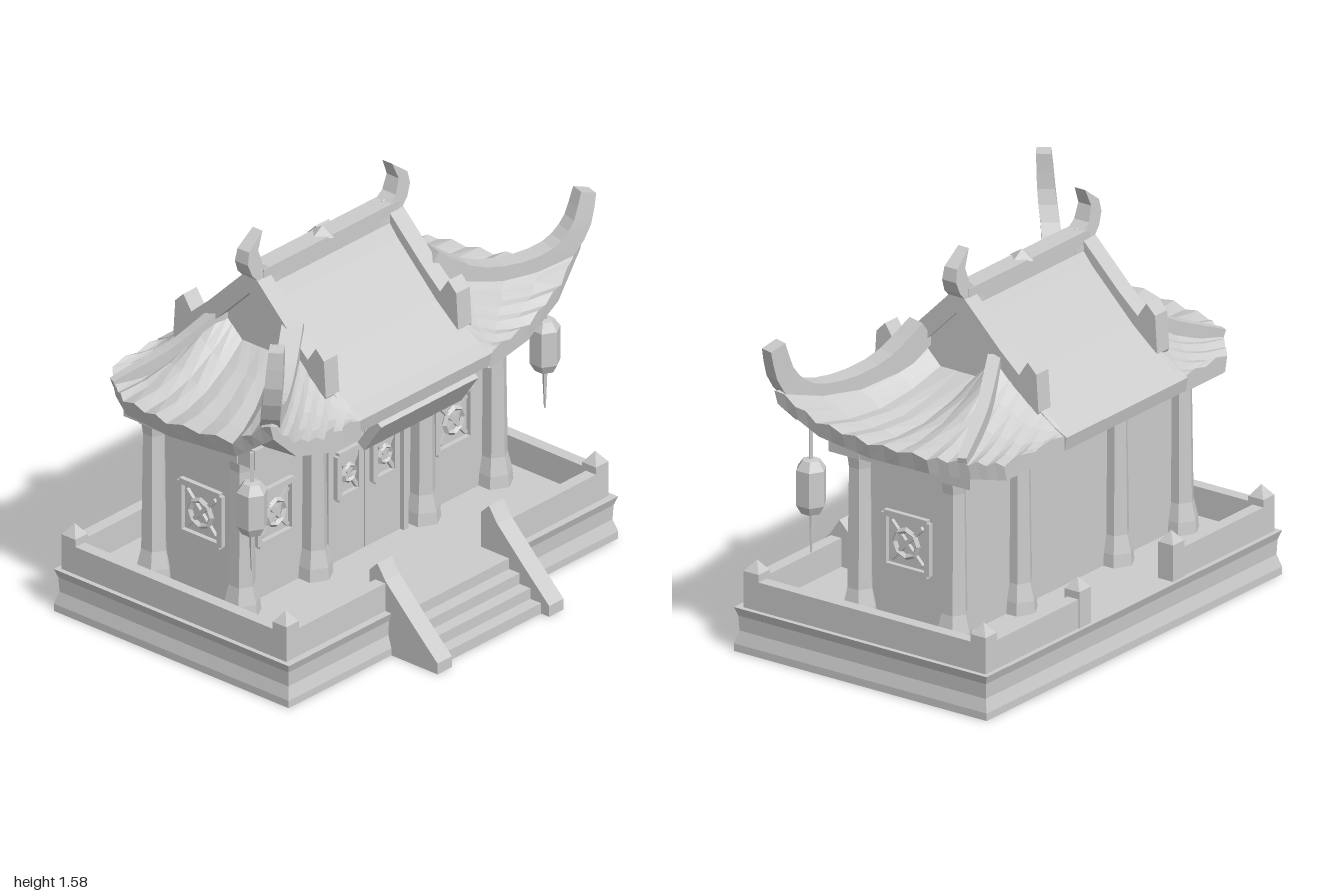
import * as THREE from 'three';

const mat = new THREE.MeshStandardMaterial({ color: 0xcccccc, flatShading: true });
const matDouble = new THREE.MeshStandardMaterial({ color: 0xcccccc, flatShading: true, side: THREE.DoubleSide });
const CX = -0.07, RIDGE_Z = -0.16, FLOOR = 0.175;
const V = (x, y, z) => new THREE.Vector3(x, y, z);

export function createModel() {
  const root = new THREE.Group();
  const add = (name, geo, m = mat, parent = root) => {
    const mesh = new THREE.Mesh(geo, m);
    mesh.name = name;
    parent.add(mesh);
    return mesh;
  };
  // box given by its limits
  const box = (name, x0, x1, y0, y1, z0, z1, parent = root) => {
    const g = new THREE.BoxGeometry(x1 - x0, y1 - y0, z1 - z0);
    g.translate((x0 + x1) / 2, (y0 + y1) / 2, (z0 + z1) / 2);
    return add(name, g, mat, parent);
  };
  // skin over successive sections; wrap closes each section, caps close the ends
  const loft = (name, rings, wrap, caps) => {
    const n = rings[0].length, pos = [], idx = [];
    rings.forEach(r => r.forEach(p => pos.push(p.x, p.y, p.z)));
    for (let i = 0; i < rings.length - 1; i++)
      for (let j = 0; j < (wrap ? n : n - 1); j++) {
        const a = i * n + j, b = i * n + (j + 1) % n;
        idx.push(a, b, a + n, b, b + n, a + n);
      }
    if (caps) for (const s of [0, (rings.length - 1) * n])
      for (let j = 1; j < n - 1; j++) idx.push(s, s + j, s + j + 1);
    const g = new THREE.BufferGeometry();
    g.setAttribute('position', new THREE.Float32BufferAttribute(pos, 3));
    g.setIndex(idx);
    g.computeVertexNormals();
    return add(name, g, matDouble);
  };
  // outline in (z, y) extruded from x0 to x1
  const sideExtrude = (name, pts, x0, x1) => {
    const g = new THREE.ExtrudeGeometry(new THREE.Shape(pts.map(p => new THREE.Vector2(...p))),
      { depth: x1 - x0, bevelEnabled: false });
    g.rotateY(-Math.PI / 2);
    g.translate(x1, 0, 0);
    return add(name, g);
  };

  // --- Platform with slightly hollow sides
  loft('platform', [[0, 0], [0.03, 0], [0.08, 0.015], [0.14, 0.012], [FLOOR, 0]].map(([y, i]) => [
    V(-0.98 + i, y, 0.47 - i), V(0.85 - i, y, 0.47 - i), V(0.85 - i, y, -0.7 + i), V(-0.98 + i, y, -0.7 + i)]), true, true);

  // --- Parapet, open at the stairs and at the back
  const [px0, px1, pz0, pz1, pt] = [-0.96, 0.83, -0.68, 0.44, 0.05];
  const rail = (...l) => box('parapet', l[0], l[1], FLOOR, 0.29, l[2], l[3]);
  rail(px0, -0.38, pz1 - pt, pz1);
  rail(0.26, px1, pz1 - pt, pz1);
  rail(px0, -0.36, pz0, pz0 + pt);
  rail(0.22, px1, pz0, pz0 + pt);
  rail(px0, px0 + pt, pz0, pz1);
  rail(px1 - pt, px1, pz0, pz1);
  for (const [x, z] of [[-0.925, 0.405], [0.795, 0.405], [-0.925, -0.645], [0.795, -0.645], [-0.36, -0.65], [0.22, -0.65]]) {
    box('parapetPost', x - 0.035, x + 0.035, FLOOR, 0.32, z - 0.035, z + 0.035);
    const tip = new THREE.ConeGeometry(0.048, 0.045, 4);
    tip.rotateY(Math.PI / 4);
    add('postTip', tip).position.set(x, 0.342, z);
  }

  // --- Stairs and side walls
  for (let i = 0; i < 4; i++)
    box('step', -0.36, 0.24, 0, FLOOR - i * 0.044, 0.4, 0.5 + i * 0.053);
  for (const x of [-0.41, 0.21])
    sideExtrude('stairWall', [[0.36, 0], [0.7, 0], [0.7, 0.045], [0.57, 0.17], [0.44, 0.3], [0.4, 0.36], [0.36, 0.32]], x, x + 0.08);

  // --- Hall walls, beams and columns
  box('hall', -0.75, 0.62, FLOOR, 0.89, -0.38, 0.025);
  box('beam', -0.82, 0.68, 0.82, 0.88, -0.42, 0.07);
  box('lintel', -0.36, 0.23, 0.69, 0.82, 0.02, 0.06);
  const shaft = new THREE.LatheGeometry([[0, 0], [0.075, 0], [0.07, 0.05], [0.053, 0.12], [0.046, 0.6], [0.06, 0.7], [0, 0.7]]
    .map(p => new THREE.Vector2(...p)), 6);
  for (const x of [-0.765, -0.365, 0.235, 0.635]) for (const z of [0.045, -0.39]) {
    add('column', shaft).position.set(x, FLOOR, z);
    const s = z > 0 ? 1 : -1;
    box('bracket', x - 0.05, x + 0.05, 0.82, 0.9, z + s * 0.04 - 0.07, z + s * 0.04 + 0.07);
  }

  // --- Lattice windows, built facing +z about their centre
  const lattice = (name, w, h) => {
    const g = new THREE.Group();
    g.name = name;
    for (const s of [-1, 1]) {
      box('frameSide', s * w / 2 - 0.012, s * w / 2 + 0.012, -h / 2, h / 2, -0.01, 0.02, g);
      box('frameRail', -w / 2, w / 2, s * h / 2 - 0.012, s * h / 2 + 0.012, -0.01, 0.02, g);
      const bar = box('bar', -0.008, 0.008, -h * 0.5, h * 0.5, -0.01, 0.015, g);
      bar.rotation.z = s * Math.atan(w / h);
    }
    const ring = add('rosette', new THREE.TorusGeometry(Math.min(w, h) * 0.27, 0.012, 4, 8), mat, g);
    ring.position.z = 0.01;
    root.add(g);
    return g;
  };
  lattice('frontWindow', 0.19, 0.21).position.set(-0.57, 0.51, 0.025);
  lattice('frontWindow', 0.19, 0.21).position.set(0.42, 0.51, 0.025);
  for (const [x, s] of [[0.62, 1], [-0.75, -1]]) {
    const w = lattice('sideWindow', 0.2, 0.21);
    w.position.set(x, 0.51, -0.165);
    w.rotation.y = s * Math.PI / 2;
  }
  for (const x of [-0.18, 0.02]) {
    box('doorLeaf', x - 0.097, x + 0.097, FLOOR, 0.68, 0.02, 0.04);
    lattice('doorWindow', 0.12, 0.18).position.set(x, 0.53, 0.04);
  }
  for (const x of [-0.29, 0.13]) box('doorJamb', x - 0.012, x + 0.012, FLOOR, 0.69, 0.02, 0.06);

  // --- Tilted plaque hanging below the front eave
  const plaque = box('plaque', -0.27, 0.27, -0.075, 0.075, -0.02, 0.02);
  plaque.position.set(-0.05, 0.82, 0.28);
  plaque.rotation.x = 0.6;

  // --- Main gable roof, concave on both slopes
  const slope = [[0, 1.4], [0.08, 1.3], [0.18, 1.2], [0.27, 1.11], [0.36, 1.035], [0.44, 0.975], [0.5, 0.945]];
  const mirrored = half => [...half.map(([d, y]) => [RIDGE_Z + d, y]),
    ...half.slice().reverse().map(([d, y]) => [RIDGE_Z - d, y])];
  sideExtrude('mainRoof', mirrored([...slope, [0.49, 0.89], [0.3, 0.87]]), -0.45, 0.3);

  // --- Hipped side skirts: eave points matched to points along the gable edge
  const inner = x => [[x, 0.945, 0.34], [x, 1.035, 0.2], [x, 1.12, 0.1], [x, 1.2, 0.02], [x, 1.1, -0.08], [x, 1.1, -0.24],
    [x, 1.2, -0.34], [x, 1.12, -0.42], [x, 1.035, -0.52], [x, 0.945, -0.65]].map(p => V(...p));
  const eaves = {
    rightSkirt: [0.28, 0.6, [[0.29, 0.945, 0.34], [0.55, 0.95, 0.3], [0.78, 1.01, 0.25], [0.96, 1.14, 0.2], [0.89, 1.02, 0.06],
      [0.85, 0.97, -0.15], [0.82, 0.96, -0.4], [0.75, 0.95, -0.54], [0.66, 0.94, -0.64], [0.29, 0.945, -0.65]]],
    leftSkirt: [-0.43, -0.73, [[-0.44, 0.945, 0.34], [-0.65, 0.95, 0.35], [-0.83, 1.01, 0.36], [-0.96, 1.13, 0.36], [-0.97, 1.0, 0.18],
      [-0.97, 0.97, -0.15], [-0.93, 0.96, -0.4], [-0.83, 0.95, -0.54], [-0.72, 0.94, -0.64], [-0.44, 0.945, -0.65]]],
  };
  // point at fraction u of a polyline
  const along = (pts, u) => {
    const s = Math.min(u * (pts.length - 1), pts.length - 1.001), i = Math.floor(s);
    return pts[i].clone().lerp(pts[i + 1], s - i);
  };
  const PLEATS = 36;
  for (const [name, [x, wallX, rim]] of Object.entries(eaves)) {
    const tops = inner(x), rimPts = rim.map(p => V(...p)), rings = [];
    for (let i = 0; i <= PLEATS; i++) {
      const a = along(tops, i / PLEATS), b = along(rimPts, i / PLEATS), pts = [];
      const pleat = (i % 2) * 0.016; // every second line is a raised tile row
      for (let t = 0; t <= 4; t++) {
        const p = a.clone().lerp(b, t / 4);
        p.y += pleat * t / 4 - Math.sin(Math.PI * t / 4) * 0.1 * a.distanceTo(b);
        pts.push(p);
      }
      const sx = wallX > 0 ? Math.min(b.x, wallX) : Math.max(b.x, wallX);
      pts.push(V(b.x - (b.x - CX) * 0.02, b.y - 0.06, b.z));
      pts.push(V(sx, 0.87, THREE.MathUtils.clamp(b.z, -0.39, 0.05)));
      rings.push(pts);
    }
    loft(name, rings, false, false);
  }

  // --- Hip ridges, the front ones sweeping up into horns
  const sweep = (name, pts, w, h) => {
    const c = new THREE.CatmullRomCurve3(pts.map(p => V(...p))), rings = [];
    const side = V(pts.at(-1)[2] - pts[0][2], 0, pts[0][0] - pts.at(-1)[0]).normalize();
    for (let i = 0; i <= 12; i++) {
      const p = c.getPoint(i / 12), up = new THREE.Vector3().crossVectors(side, c.getTangent(i / 12));
      const k = 1 - 0.3 * (i / 12) ** 3;
      rings.push([[-1, -1], [1, -1], [1, 1], [-1, 1]].map(([a, b]) =>
        p.clone().addScaledVector(side, a * w * k / 2).addScaledVector(up, b * h * k / 2)));
    }
    loft(name, rings, true, true);
  };
  sweep('frontHorn', [[-0.44, 1.22, 0.01], [-0.6, 1.1, 0.11], [-0.77, 1.07, 0.22], [-0.89, 1.13, 0.3], [-0.94, 1.28, 0.36], [-0.935, 1.45, 0.37]], 0.08, 0.1);
  sweep('frontHorn', [[0.3, 1.22, 0.01], [0.46, 1.11, 0.06], [0.66, 1.07, 0.12], [0.83, 1.1, 0.17], [0.92, 1.19, 0.195], [0.965, 1.32, 0.2]], 0.08, 0.1);
  sweep('backHip', [[-0.44, 1.18, -0.33], [-0.62, 1.05, -0.42], [-0.85, 0.96, -0.52]], 0.05, 0.06);
  sweep('backHip', [[0.3, 1.18, -0.33], [0.5, 1.05, -0.42], [0.76, 0.96, -0.52]], 0.05, 0.06);

  // --- Descending ridges with raised ends
  const verge = mirrored([[0, 1.43], [0.1, 1.33], [0.2, 1.23], [0.29, 1.15], [0.33, 1.21], [0.37, 1.17], [0.38, 1.02], [0.36, 0.98], [0.2, 1.13], [0, 1.33]]);
  for (const x of [-0.495, 0.24]) sideExtrude('vergeRidge', verge.slice(1), x, x + 0.075);

  // --- Top ridge and its curled ends
  box('topRidge', -0.46, 0.29, 1.35, 1.425, RIDGE_Z - 0.04, RIDGE_Z + 0.04);
  const knob = add('ridgeKnob', new THREE.ConeGeometry(0.055, 0.035, 4));
  knob.position.set(-0.09, 1.438, RIDGE_Z);
  const finial = [[0.28, 1.36], [0.37, 1.35], [0.4, 1.39], [0.43, 1.42], [0.45, 1.47], [0.44, 1.52], [0.36, 1.58], [0.39, 1.51], [0.37, 1.45], [0.34, 1.425], [0.28, 1.42]];
  for (const s of [-1, 1]) {
    const g = new THREE.ExtrudeGeometry(new THREE.Shape(finial.map(([x, y]) => new THREE.Vector2(-0.09 + s * x, y))), { depth: 0.07, bevelEnabled: false });
    g.translate(0, 0, RIDGE_Z - 0.035);
    const p = g.attributes.position; // taper towards the tip
    for (let i = 0; i < p.count; i++)
      p.setZ(i, RIDGE_Z + (p.getZ(i) - RIDGE_Z) * (1.2 - (p.getY(i) - 1.35) * 2.2));
    add('ridgeFinial', g);
  }

  // --- Hanging lanterns
  for (const [x, z] of [[-0.9, 0.215], [0.8, 0.15]]) {
    const g = new THREE.Group();
    g.name = 'lantern';
    add('lanternBody', new THREE.LatheGeometry([[0, 0.61], [0.04, 0.615], [0.06, 0.65], [0.06, 0.79], [0.035, 0.825], [0, 0.83]]
      .map(p => new THREE.Vector2(...p)), 6), mat, g);
    add('lanternCord', new THREE.CylinderGeometry(0.01, 0.01, 0.13, 4), mat, g).position.y = 0.885;
    add('tassel', new THREE.CylinderGeometry(0.011, 0.004, 0.16, 5), mat, g).position.y = 0.535;
    g.position.set(x, 0, z);
    root.add(g);
  }
  return root;
}
